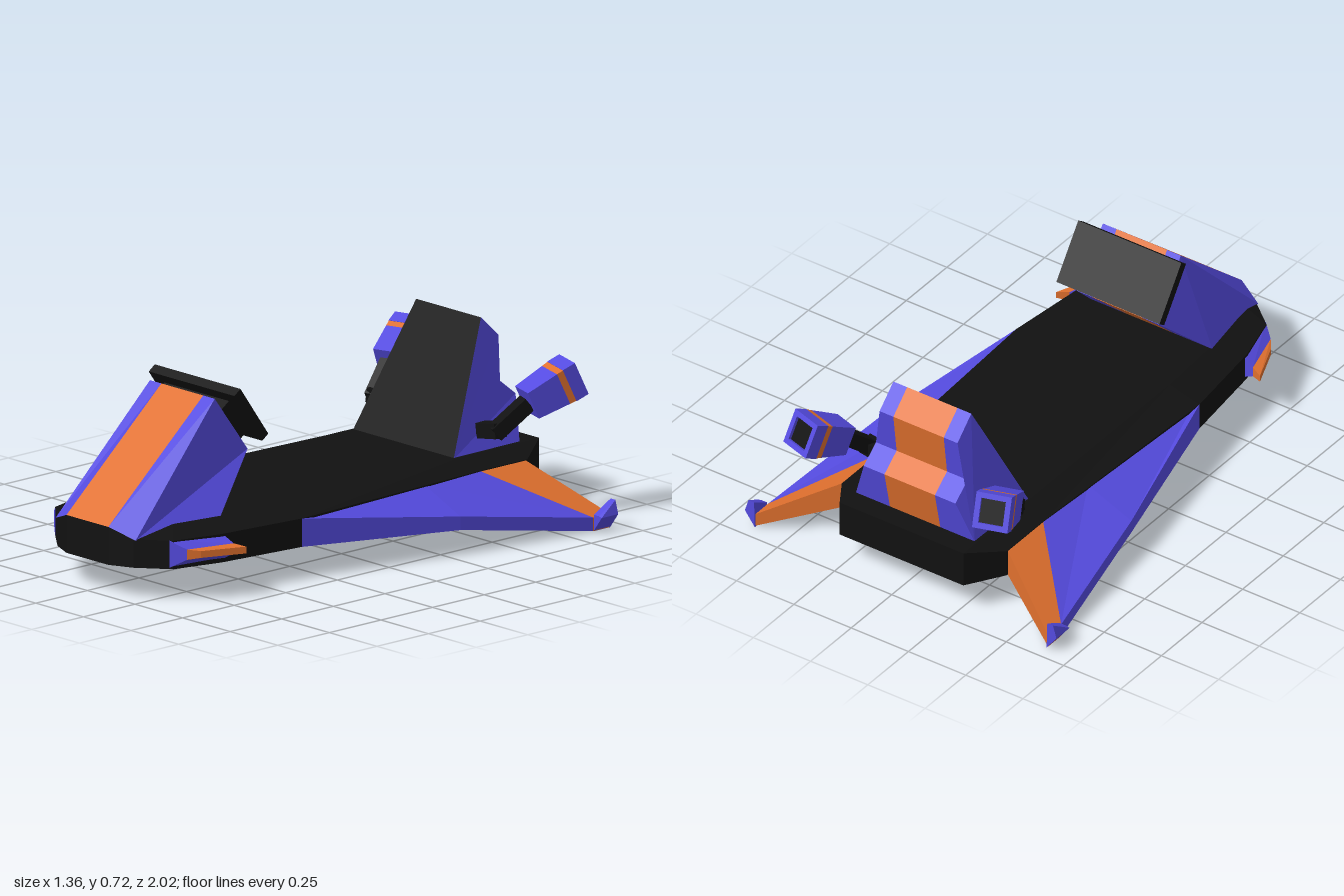
import * as THREE from 'three';

const paint = (color) => new THREE.MeshStandardMaterial({ color, flatShading: true });
const BLACK = paint(0x111111), PURPLE = paint(0x554be0), ORANGE = paint(0xe0702e);
const V = (x, y, z) => new THREE.Vector3(x, y, z);

// Skins loops of points into a closed faceted solid, one mesh per colour.
// paintOf(span, edge) picks the side colours, caps the two end colours.
function loft(name, loops, paintOf, caps) {
  const faces = [];
  const n = loops[0].length;
  for (let s = 0; s < loops.length - 1; s++) {
    for (let e = 0; e < n; e++) {
      const f = (e + 1) % n, a = loops[s], b = loops[s + 1];
      faces.push([paintOf(s, e), [a[e], a[f], b[f], b[e]]]);
    }
  }
  faces.push([caps[0], [...loops[0]].reverse()], [caps[1], loops[loops.length - 1]]);

  const tris = [];
  let volume = 0;
  for (const [mat, p] of faces) {
    for (let i = 1; i < p.length - 1; i++) {
      const t = [p[0], p[i], p[i + 1]];
      if (new THREE.Triangle(...t).getArea() < 1e-7) continue;
      volume += t[0].dot(t[1].clone().cross(t[2]));
      tris.push([mat, t]);
    }
  }
  const group = new THREE.Group();
  group.name = name;
  for (const mat of new Set(tris.map((t) => t[0]))) {
    const pts = tris.filter((t) => t[0] === mat)
      .flatMap(([, t]) => (volume < 0 ? [t[0], t[2], t[1]] : t));
    const geo = new THREE.BufferGeometry().setFromPoints(pts);
    geo.computeVertexNormals();
    const mesh = new THREE.Mesh(geo, mat);
    mesh.name = name + 'Panels';
    group.add(mesh);
  }
  return group;
}

function box(name, w, h, d, mat, x, y, z, tilt = 0) {
  const mesh = new THREE.Mesh(new THREE.BoxGeometry(w, h, d), mat);
  mesh.name = name;
  mesh.position.set(x, y, z);
  mesh.rotation.x = tilt;
  return mesh;
}

// Square bar from one point to another
function beam(name, a, b, size, mat) {
  const mesh = box(name, size, size, a.distanceTo(b) + size * 0.6, mat, 0, 0, 0);
  mesh.position.copy(a).lerp(b, 0.5);
  mesh.lookAt(b);
  return mesh;
}

// Body with a centre stripe: profile rows are [z, y, halfWidth, stripeZ, stripeY]
function stripedBody(name, profile, paintOf) {
  const outer = (s) => profile.map(([z, y, w]) => V(s * w, y, z));
  const inner = (s) => profile.map(([z, y, , sz = z, sy = y]) => V(s * 0.11, sy, sz));
  return loft(name, [outer(-1), inner(-1), inner(1), outer(1)], paintOf, [PURPLE, PURPLE]);
}

function wing(s) {
  const ring = (rx, rz, rTop, rBot, x, top, bot, z) =>
    [V(s * rx, rTop, rz), V(s * x, top, z), V(s * x, bot, z), V(s * rx, rBot, rz)];
  return loft('wing', [
    ring(0.38, 0.33, 0.225, 0.12, 0.4, 0.225, 0.12, 0.33),
    ring(0.36, -0.3, 0.225, 0.12, 0.55, 0.145, 0.095, -0.3),
    ring(0.355, -0.57, 0.225, 0.12, 0.64, 0.055, 0.005, -0.86),
    ring(0.355, -0.79, 0.225, 0.12, 0.64, 0.055, 0.005, -0.94),
  ], (span) => (span < 2 ? PURPLE : ORANGE), [PURPLE, ORANGE]);
}

// Small upright blade on the wing tip, taller at the rear
function wingTip(s) {
  const ring = (z, top) => [V(s * 0.637, 0.003, z), V(s * 0.68, 0.06, z),
    V(s * 0.665, top, z), V(s * 0.64, top, z)];
  return loft('wingTip', [ring(-0.865, 0.064), ring(-0.945, 0.11)], () => PURPLE, [PURPLE, PURPLE]);
}

// Side lamp at the bow: purple frustum with an orange blade
function bowLamp(s) {
  const ring = (x1, z1, x2, z2, lo, hi) =>
    [V(s * x1, lo, z1), V(s * x1, hi, z1), V(s * x2, hi, z2), V(s * x2, lo, z2)];
  return loft('bowLamp', [
    ring(0.3, 0.88, 0.345, 0.67, 0.125, 0.225),
    ring(0.35, 0.84, 0.4, 0.66, 0.157, 0.195),
    ring(0.38, 0.8, 0.445, 0.64, 0.163, 0.188),
  ], (span) => (span ? ORANGE : PURPLE), [PURPLE, ORANGE]);
}

function thruster(s) {
  const group = new THREE.Group();
  group.name = 'thruster';
  const pod = new THREE.Group();
  pod.name = 'thrusterPod';
  const square = (h, z) => [V(-h, -h, z), V(h, -h, z), V(h, h, z), V(-h, h, z)];
  pod.add(loft('thrusterShell', [square(0.054, 0), square(0.063, 0.125), square(0.065, 0.152)],
    (span) => (span ? ORANGE : PURPLE), [PURPLE, PURPLE]));
  // Open nozzle frame with a dark recess
  const frame = new THREE.Shape(square(0.066, 0).map((p) => new THREE.Vector2(p.x, p.y)));
  frame.holes.push(new THREE.Path(square(0.046, 0).map((p) => new THREE.Vector2(p.x, p.y))));
  const nozzle = new THREE.Mesh(
    new THREE.ExtrudeGeometry(frame, { depth: 0.052, bevelEnabled: false }), PURPLE);
  nozzle.name = 'nozzleFrame';
  nozzle.position.z = 0.15;
  pod.add(nozzle, box('nozzleCore', 0.092, 0.092, 0.04, BLACK, 0, 0, 0.17));
  pod.position.set(s * 0.362, 0.436, -0.797);
  pod.lookAt(s * 0.417, 0.518, -0.97);
  // Bent arm from the tail to the pod
  const elbow = V(s * 0.322, 0.345, -0.69);
  group.add(pod,
    beam('armRoot', V(s * 0.23, 0.33, -0.69), elbow, 0.055, BLACK),
    beam('armUpper', elbow, V(s * 0.358, 0.425, -0.785), 0.055, BLACK));
  return group;
}

export function createModel() {
  const model = new THREE.Group();
  model.name = 'hoverSled';

  // Deck: rows are [z, rimX, rimY, topX]
  const deck = [
    [1, 0.11, 0.26, 0.11, 1], [0.96, 0.2, 0.225, 0.15, 0.9], [0.87, 0.31, 0.225, 0.21, 0.78],
    [0.68, 0.36, 0.225, 0.255, 0.6], [0.33, 0.4, 0.225, 0.27, 0.33],
    [-0.57, 0.36, 0.225, 0.27, -0.57], [-0.8, 0.36, 0.225, 0.27, -0.8],
    [-0.94, 0.27, 0.26, 0.27, -0.94],
  ].map(([z, x, y, topX, topZ]) => [V(-x, 0.12, z), V(x, 0.12, z), V(x, y, z),
    V(topX, 0.26, topZ), V(-topX, 0.26, topZ), V(-x, y, z)]);
  model.add(loft('deck', deck, () => BLACK, [BLACK, BLACK]));

  // Sloped front console with its dark dashboard
  model.add(stripedBody('frontConsole', [
    [0.96, 0.222, 0.21, 1, 0.26], [0.54, 0.66, 0.17], [0.39, 0.45, 0.18], [0.6, 0.255, 0.265],
  ], (span) => (span === 1 ? ORANGE : PURPLE)));
  model.add(box('dashboardNeck', 0.34, 0.155, 0.06, BLACK, 0, 0.563, 0.444, 0.617));
  model.add(box('dashboard', 0.45, 0.233, 0.036, BLACK, 0, 0.588, 0.413, 0.617));

  // Stepped tail with a dark backrest
  model.add(stripedBody('tail', [
    [-0.53, 0.255, 0.265], [-0.75, 0.72, 0.17], [-0.835, 0.64, 0.17],
    [-0.815, 0.48, 0.2], [-0.89, 0.42, 0.2], [-0.855, 0.255, 0.26],
  ], (span, edge) => (edge === 0 ? BLACK : span === 1 ? ORANGE : PURPLE)));

  for (const s of [1, -1]) model.add(wing(s), wingTip(s), bowLamp(s), thruster(s));
  return model;
}
